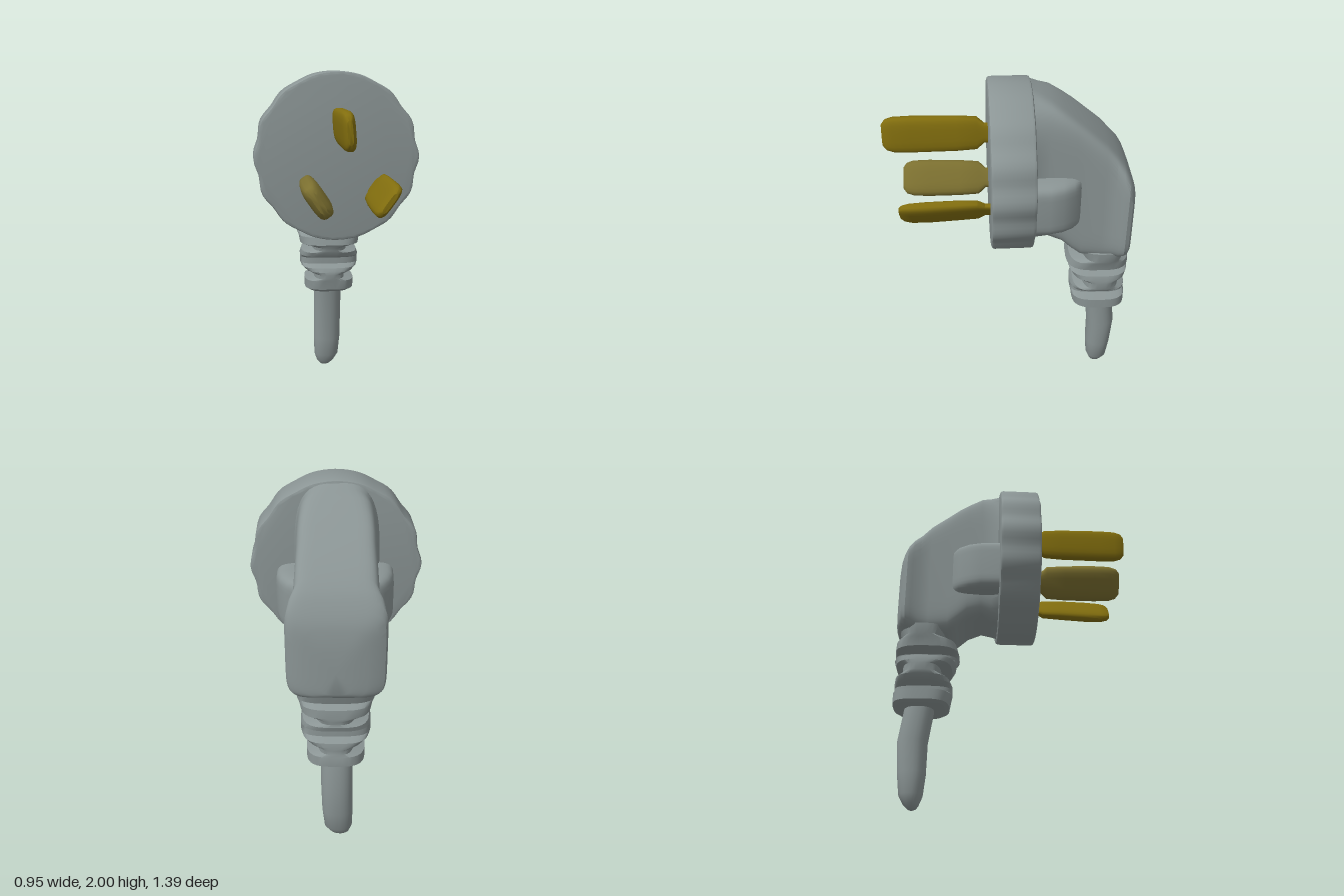
import * as THREE from 'three';
import { toCreasedNormals } from 'three/addons/utils/BufferGeometryUtils.js';

const grey = new THREE.MeshStandardMaterial({ color: 0x8b9595 });
const brass = new THREE.MeshStandardMaterial({ color: 0x826e0e });
const dullBrass = new THREE.MeshStandardMaterial({ color: 0x7c7030 });

// Skin superellipse rings along z. Row: [z, centre x, centre y, half width, half height, own exponent]
function loft(rows, n, sides = 32, crease = 0.6) {
  const pos = [], idx = [];
  const sorted = [...rows].sort((a, b) => a[0] - b[0]);
  const bend = (v, e) => Math.sign(v) * Math.pow(Math.abs(v), 2 / e);
  for (const [z, cx, cy, hx, hy, e = n] of sorted) {
    for (let j = 0; j < sides; j++) {
      const t = ((j + 0.5) / sides) * Math.PI * 2;
      pos.push(cx + hx * bend(Math.cos(t), e), cy + hy * bend(Math.sin(t), e), z);
    }
  }
  for (let i = 0; i < sorted.length - 1; i++) {
    for (let j = 0; j < sides; j++) {
      const a = i * sides + j, b = i * sides + ((j + 1) % sides);
      idx.push(a, b, b + sides, a, b + sides, a + sides);
    }
  }
  // End caps
  const last = (sorted.length - 1) * sides, c = sorted.length * sides;
  for (const r of [sorted[0], sorted[sorted.length - 1]]) pos.push(r[1], r[2], r[0]);
  for (let j = 0; j < sides; j++) {
    const k = (j + 1) % sides;
    idx.push(c, k, j, c + 1, last + j, last + k);
  }
  const geo = new THREE.BufferGeometry();
  geo.setAttribute('position', new THREE.Float32BufferAttribute(pos, 3));
  geo.setIndex(idx);
  return toCreasedNormals(geo, crease);
}

// Same along y. Row: [y, centre x, centre z, half width, half depth]
const loftUp = (rows, n, sides, crease) =>
  loft(rows.map(([y, x, z, a, b]) => [y, x, -z, a, b]), n, sides, crease).rotateX(-Math.PI / 2);

function part(name, geo, mat) {
  const m = new THREE.Mesh(geo, mat);
  m.name = name;
  return m;
}

// Round face plate with shallow finger grips on both sides
function faceGeometry() {
  const shape = new THREE.Shape();
  for (let i = 0; i < 96; i++) {
    const t = (i / 96) * Math.PI * 2;
    const side = Math.pow(Math.abs(Math.cos(t)), 1.5);
    const r = 0.462 - side * (0.006 + 0.009 * (1 - Math.cos(14 * t)));
    const x = r * Math.cos(t), y = r * Math.sin(t);
    if (i) shape.lineTo(x, y); else shape.moveTo(x, y);
  }
  const geo = new THREE.ExtrudeGeometry(shape, {
    depth: 0.2, bevelEnabled: true, bevelThickness: 0.017, bevelSize: 0.017, bevelSegments: 2,
  });
  return toCreasedNormals(geo.translate(0, 0, -0.1), 0.5);
}

// Flat contact blade with a narrow root and a rounded tip
function blade(name, mat, x, y, tilt, halfThick, halfWide, tip, lean) {
  const rows = [
    [0.08, 0, 0.6, 0.55], [0.15, 0, 0.6, 0.55], [0.19, 0.1, 0.9, 0.9], [0.3, 0.3, 1, 0.97],
    [tip - 0.15, 0.8, 1.05, 1], [tip - 0.06, 1, 0.95, 0.97], [tip - 0.02, 1, 0.75, 0.85], [tip, 1, 0.4, 0.6],
  ].map(([z, s, a, b]) => [z, lean * s, 0, halfThick * a, halfWide * b]);
  const m = part(name, loft(rows, 3.3, 20, 0.7), mat);
  m.position.set(x, y, 0);
  m.rotation.z = tilt;
  return m;
}

export function createModel() {
  const group = new THREE.Group();

  const face = part('facePlate', faceGeometry(), grey);
  face.position.set(-0.003, 1.52, 0.013);
  face.rotation.y = 0.035;
  group.add(face);

  // Curved housing: [z, top, bottom, half width, corner exponent]
  const body = [
    [0, 1.95, 1.09, 0.2, 3], [-0.1, 1.985, 1.07, 0.235, 3.2], [-0.14, 1.965, 1.09, 0.215, 4],
    [-0.2, 1.94, 1.115, 0.21, 5.5], [-0.28, 1.885, 1.09, 0.21, 7], [-0.34, 1.84, 1.04, 0.21, 8],
    [-0.39, 1.8, 1.0, 0.21, 8], [-0.5, 1.71, 0.99, 0.215, 8], [-0.56, 1.645, 0.99, 0.22, 7],
    [-0.6, 1.6, 0.99, 0.25, 6], [-0.63, 1.55, 1.0, 0.26, 6], [-0.652, 1.5, 1.01, 0.25, 6],
    [-0.668, 1.46, 1.02, 0.215, 6], [-0.68, 1.41, 1.03, 0.16, 6], [-0.69, 1.3, 1.05, 0.08, 4],
  ].map(([z, top, bot, w, e]) => [z, -0.008, (top + bot) / 2, w, (top - bot) / 2, e]);
  group.add(part('housing', loft(body, 8, 48), grey));

  // Rounded shoulders on both sides of the housing
  const shoulder = [
    [-0.05, 0.325, 0.16], [-0.2, 0.32, 0.16], [-0.27, 0.3, 0.16],
    [-0.33, 0.265, 0.155], [-0.365, 0.225, 0.145], [-0.38, 0.18, 0.13],
  ].map(([z, w, h]) => [z, 0, 1.38, w, h]);
  group.add(part('sideShoulders', loft(shoulder, 7, 40), grey));

  // Strain relief with slots alternating between the sides and the front
  const relief = [
    [1.03, 0.215, -0.53, 0.14], [0.97, 0.21, -0.53, 0.12], [0.95, 0.2, -0.51, 0.175],
    [0.9, 0.19, -0.505, 0.185], [0.88, 0.11, -0.51, 0.18], [0.86, 0.11, -0.51, 0.175],
    [0.845, 0.18, -0.515, 0.175], [0.815, 0.19, -0.52, 0.16], [0.795, 0.19, -0.53, 0.11],
    [0.755, 0.19, -0.53, 0.11], [0.735, 0.18, -0.525, 0.155], [0.71, 0.15, -0.52, 0.165],
    [0.69, 0.1, -0.52, 0.165], [0.665, 0.1, -0.52, 0.165], [0.65, 0.16, -0.525, 0.165],
    [0.59, 0.16, -0.53, 0.16], [0.57, 0.13, -0.53, 0.13],
  ].map(([y, a, z, b]) => [y, -0.005, z, a, b]);
  group.add(part('strainRelief', loftUp(relief, 3.2, 32, 0.6), grey));

  // Cord stub with a rounded, tapering end
  const cord = [
    [0.6, -0.01, -0.535, 0.09, 0.085], [0.38, -0.012, -0.567, 0.09, 0.085],
    [0.2, -0.015, -0.562, 0.088, 0.078], [0.08, -0.02, -0.56, 0.08, 0.065],
    [0.03, -0.028, -0.555, 0.055, 0.042], [0.008, -0.032, -0.55, 0.03, 0.025], [0, -0.035, -0.55, 0.01, 0.01],
  ];
  group.add(part('cord', loftUp(cord, 2.3, 24, 0.9), grey));

  group.add(
    blade('topBlade', brass, 0, 1.71, 0.08, 0.036, 0.102, 0.7, 0.015),
    blade('lowerRightBlade', dullBrass, -0.145, 1.345, 0.6, 0.05, 0.105, 0.625, 0.01),
    blade('lowerLeftBlade', brass, 0.215, 1.355, -0.63, 0.033, 0.102, 0.615, 0.018),
  );
  return group;
}
